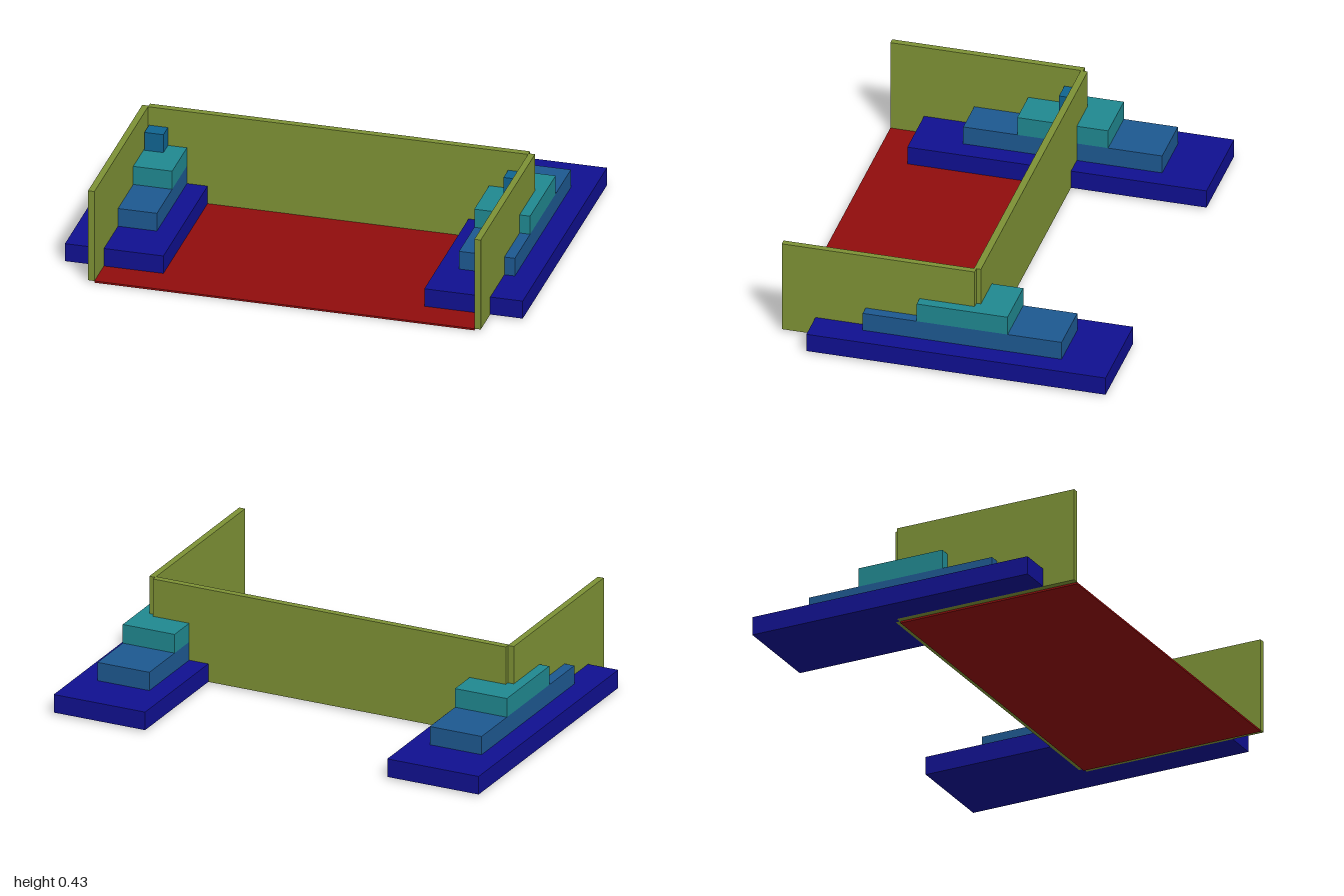
import * as THREE from 'three';

const paint = (color) => new THREE.MeshStandardMaterial({ color });

// Box given by its [min, max] extent on each axis
function block(name, [x0, x1], [y0, y1], [z0, z1], material) {
  const mesh = new THREE.Mesh(new THREE.BoxGeometry(x1 - x0, y1 - y0, z1 - z0), material);
  mesh.name = name;
  mesh.position.set((x0 + x1) / 2, (y0 + y1) / 2, (z0 + z1) / 2);
  return mesh;
}

export function createModel() {
  const model = new THREE.Group();
  model.name = 'steppedStage';
  const red = paint(0x900c0c);
  const olive = paint(0x7d9135);

  // Thin floor and back wall
  model.add(block('floor', [-0.83, 0.83], [0, 0.008], [-0.113, 0.727], red));
  model.add(block('backWall', [-0.83, 0.83], [0.008, 0.428], [-0.135, -0.105], olive));

  // Stepped tiers, from the bottom up: name, x, y, z extents on the left side, colour
  const tiers = [
    ['baseTier', [0.57, 1], [0.008, 0.09], [-0.727, 0.58], paint(0x101090)],
    ['lowerTier', [0.66, 0.904], [0.09, 0.173], [-0.508, 0.361], paint(0x1d5890)],
    ['middleTier', [0.66, 0.904], [0.173, 0.258], [-0.272, 0.125], paint(0x208890)],
    ['topTier', [0.743, 0.826], [0.258, 0.342], [-0.113, -0.034], paint(0x106490)],
  ];

  // Side walls and tiers, mirrored left and right
  for (const [side, s] of [['left', 1], ['right', -1]]) {
    const group = new THREE.Group();
    group.name = `${side}Side`;
    group.add(block('sideWall', [0.83, 0.858], [0.008, 0.428], [-0.115, 0.727], olive));
    for (const tier of tiers) group.add(block(...tier));
    for (const part of group.children) part.position.x *= s;
    model.add(group);
  }
  return model;
}
